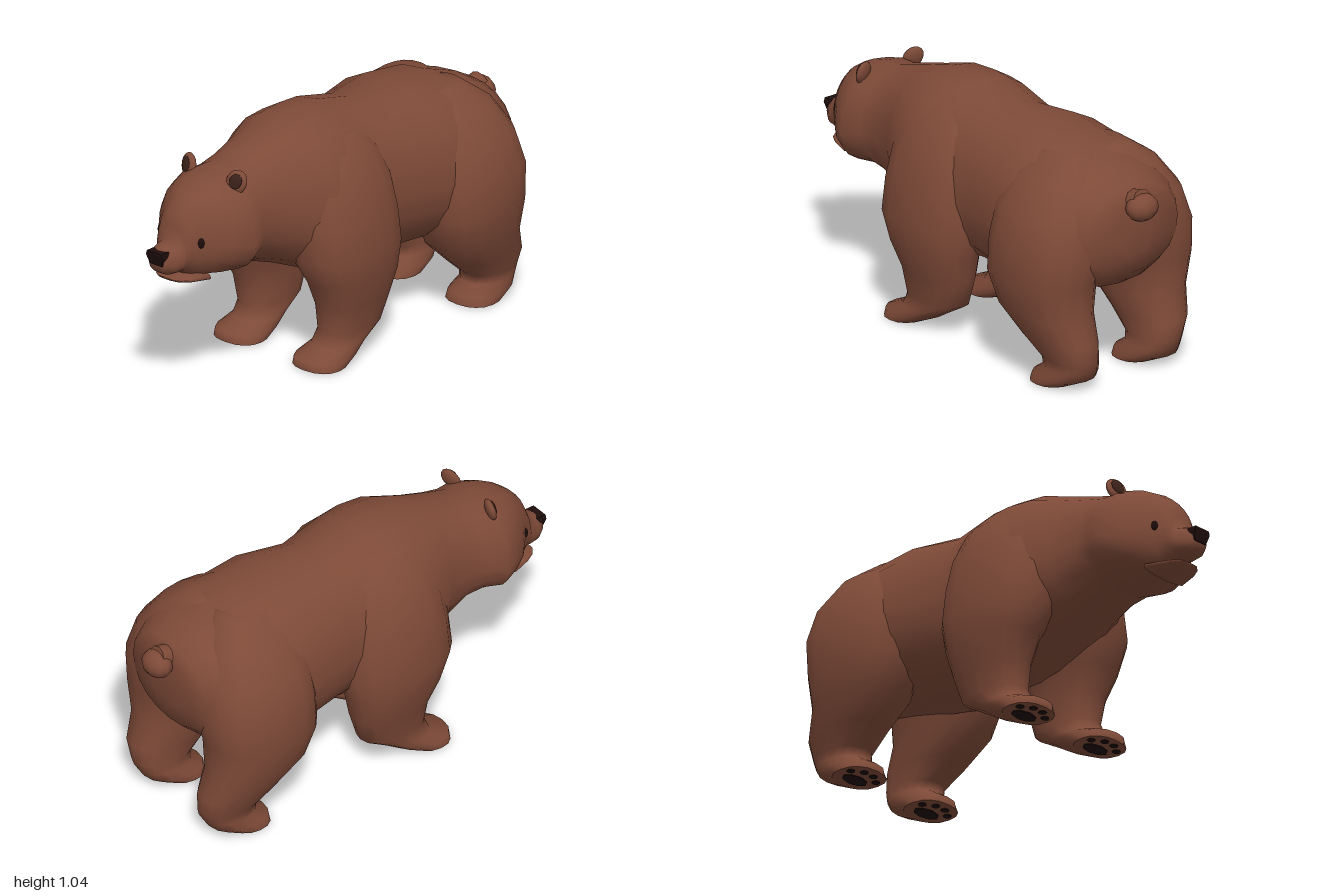
import * as THREE from 'three';

const fur = new THREE.MeshStandardMaterial({ color: 0x7e4a38 });
fur.name = 'brown fur';
const innerEarFur = new THREE.MeshStandardMaterial({ color: 0x3c211a });
innerEarFur.name = 'inner ear brown';
const dark = new THREE.MeshStandardMaterial({ color: 0x1e0d0d });
dark.name = 'dark skin';

// Signed power, squares off an ellipse when e < 1
const pw = (v, e) => Math.sign(v) * Math.pow(Math.abs(v), e);

// Skin a list of rings (arrays of [x, y, z]) and close both ends
function loft(rings, hardStart = false) {
  const n = rings[0].length, pos = rings.flat(2), idx = [];
  for (let r = 0; r < rings.length - 1; r++) {
    for (let i = 0; i < n; i++) {
      const a = r * n + i, b = r * n + (i + 1) % n;
      idx.push(a, b, b + n, a, b + n, a + n);
    }
  }
  const cap = (r, flip, hard) => {
    const ring = rings[r];
    let base = r * n;
    if (hard) {
      base = pos.length / 3;
      pos.push(...ring.flat());
    }
    const c = pos.length / 3;
    for (let k = 0; k < 3; k++) pos.push(ring.reduce((s, p) => s + p[k], 0) / n);
    for (let i = 0; i < n; i++) {
      const a = base + i, b = base + (i + 1) % n;
      if (flip) idx.push(c, b, a);
      else idx.push(c, a, b);
    }
  };
  cap(0, true, hardStart);
  cap(rings.length - 1, false, false);
  const g = new THREE.BufferGeometry();
  g.setAttribute('position', new THREE.Float32BufferAttribute(pos, 3));
  g.setIndex(idx);
  g.computeVertexNormals();
  return g;
}

const angles = (n) => Array.from({ length: n }, (_, i) => (i / n) * Math.PI * 2);

// Sections along z: [z, half width, widest height, top, bottom]
const alongZ = (rows, n = 20, e = 0.92) => loft(rows.map(([z, w, mid, top, bot]) =>
  angles(n).map((t) => {
    const s = pw(Math.sin(t), e);
    return [w * pw(Math.cos(t), e), mid + s * (s > 0 ? top - mid : mid - bot), z];
  })));

// Sections along y: [y, centre x, centre z, half x, half z]
const alongY = (rows, side, n = 16, e = 0.85) => loft(rows.map(([y, x, z, rx, rz]) =>
  angles(n).map((t) => [side * x + rx * pw(Math.cos(t), e), y, z - rz * pw(Math.sin(t), e)])), true);

const BODY = [
  [-0.905, 0.1, 0.68, 0.79, 0.56], [-0.88, 0.24, 0.66, 0.85, 0.47],
  [-0.8, 0.31, 0.62, 0.895, 0.4], [-0.61, 0.36, 0.6, 0.965, 0.36],
  [-0.38, 0.35, 0.62, 1.0, 0.31], [-0.17, 0.29, 0.62, 0.985, 0.31],
  [0.03, 0.32, 0.6, 1.035, 0.31], [0.13, 0.335, 0.62, 1.037, 0.33],
  [0.24, 0.32, 0.64, 1.03, 0.38], [0.38, 0.235, 0.68, 0.99, 0.44],
  [0.5, 0.205, 0.69, 0.955, 0.485], [0.58, 0.215, 0.68, 0.93, 0.508],
  [0.66, 0.243, 0.655, 0.925, 0.508], [0.74, 0.205, 0.665, 0.905, 0.51],
  [0.8, 0.16, 0.67, 0.875, 0.515], [0.84, 0.117, 0.67, 0.845, 0.525],
  [0.875, 0.095, 0.66, 0.805, 0.55], [0.895, 0.083, 0.64, 0.755, 0.555],
  [0.903, 0.077, 0.62, 0.695, 0.555], [0.95, 0.066, 0.61, 0.685, 0.56],
  [0.985, 0.042, 0.615, 0.66, 0.58],
];
const JAW = [
  [0.79, 0.12, 0.525, 0.555, 0.505], [0.87, 0.095, 0.53, 0.543, 0.512],
  [0.91, 0.072, 0.533, 0.54, 0.52], [0.93, 0.045, 0.535, 0.539, 0.529],
];
const FRONT_LEG = [
  [0.004, 0.215, 0.25, 0.113, 0.092], [0.04, 0.215, 0.21, 0.113, 0.132],
  [0.075, 0.215, 0.135, 0.095, 0.115], [0.13, 0.218, 0.075, 0.091, 0.152],
  [0.25, 0.225, 0.063, 0.113, 0.178], [0.36, 0.235, 0.075, 0.138, 0.215],
  [0.48, 0.215, 0.09, 0.17, 0.26], [0.62, 0.19, 0.09, 0.182, 0.255],
  [0.76, 0.16, 0.09, 0.18, 0.24], [0.88, 0.13, 0.09, 0.15, 0.2],
  [0.97, 0.09, 0.09, 0.1, 0.13],
];
const HIND_LEG = [
  [0.004, 0.215, -0.668, 0.113, 0.098], [0.04, 0.215, -0.71, 0.113, 0.135],
  [0.08, 0.215, -0.752, 0.097, 0.118], [0.12, 0.22, -0.755, 0.096, 0.127],
  [0.2, 0.235, -0.71, 0.118, 0.18], [0.31, 0.243, -0.63, 0.152, 0.22],
  [0.45, 0.25, -0.612, 0.182, 0.245], [0.6, 0.22, -0.62, 0.203, 0.262],
  [0.74, 0.19, -0.61, 0.195, 0.24], [0.86, 0.14, -0.6, 0.155, 0.19],
  [0.94, 0.09, -0.58, 0.09, 0.11],
];

export function createModel() {
  const bear = new THREE.Group();
  bear.name = 'bear';
  const add = (name, geo, mat, parent = bear) => {
    const m = new THREE.Mesh(geo, mat);
    m.name = name;
    parent.add(m);
    return m;
  };

  add('bodyAndHead', alongZ(BODY), fur);
  add('lowerJaw', alongZ(JAW, 16), fur);

  // Nose: a wedge, wide at the top
  const noseShape = new THREE.Shape([[-0.033, 0.61], [0.033, 0.61], [0.045, 0.65], [0.04, 0.668], [-0.04, 0.668], [-0.045, 0.65]]
    .map(([x, y]) => new THREE.Vector2(x, y)));
  const nose = new THREE.ExtrudeGeometry(noseShape, { depth: 0.045, bevelEnabled: false });
  nose.translate(0, 0, 0.955);
  // Slant the front face back towards the mouth
  const p = nose.attributes.position;
  for (let i = 0; i < p.count; i++) {
    if (p.getZ(i) > 0.98) p.setZ(i, 1 - Math.max(0, 0.65 - p.getY(i)) * 0.25);
  }
  nose.computeVertexNormals();
  add('nose', nose, dark);

  // Tail: stub and rounded tip
  const stub = add('tailStub', new THREE.CylinderGeometry(0.048, 0.055, 0.11, 10), fur);
  stub.position.set(0, 0.785, -0.895);
  stub.rotation.x = -1.25;
  const tip = add('tailTip', new THREE.SphereGeometry(1, 10, 8), fur);
  tip.position.set(0, 0.772, -0.942);
  tip.scale.set(0.074, 0.058, 0.058);

  for (const side of [1, -1]) {
    const label = side > 0 ? 'left' : 'right';

    // Legs with sole pads
    for (const [part, rows, z0] of [['FrontLeg', FRONT_LEG, 0.25], ['HindLeg', HIND_LEG, -0.668]]) {
      const leg = new THREE.Group();
      leg.name = label + part;
      bear.add(leg);
      add('leg', alongY(rows, side), fur, leg);
      const pad = (name, dx, dz, rx, rz) => {
        const m = add(name, new THREE.CylinderGeometry(1, 1, 0.006, 8), dark, leg);
        m.position.set(side * 0.215 + dx, 0.003, z0 + dz);
        m.scale.set(rx, 1, rz);
      };
      pad('solePad', 0, -0.025, 0.065, 0.036);
      for (const [dx, dz] of [[-0.075, 0.022], [-0.027, 0.052], [0.027, 0.052], [0.075, 0.022]]) {
        pad('toePad', dx, dz, 0.018, 0.017);
      }
    }

    // Ear with darker inside
    const ear = new THREE.Group();
    ear.name = label + 'Ear';
    ear.position.set(side * 0.13, 0.905, 0.65);
    ear.rotation.set(-0.25, side * 0.3, side * -0.35);
    bear.add(ear);
    add('earShell', new THREE.SphereGeometry(1, 12, 8), fur, ear).scale.set(0.046, 0.052, 0.02);
    const inner = add('innerEar', new THREE.SphereGeometry(1, 10, 6), innerEarFur, ear);
    inner.position.set(0, 0.004, 0.016);
    inner.scale.set(0.028, 0.033, 0.007);

    // Eye
    const eye = add(label + 'Eye', new THREE.SphereGeometry(1, 10, 8), dark);
    eye.position.set(side * 0.107, 0.69, 0.838);
    eye.scale.set(0.017, 0.025, 0.017);
  }
  return bear;
}
